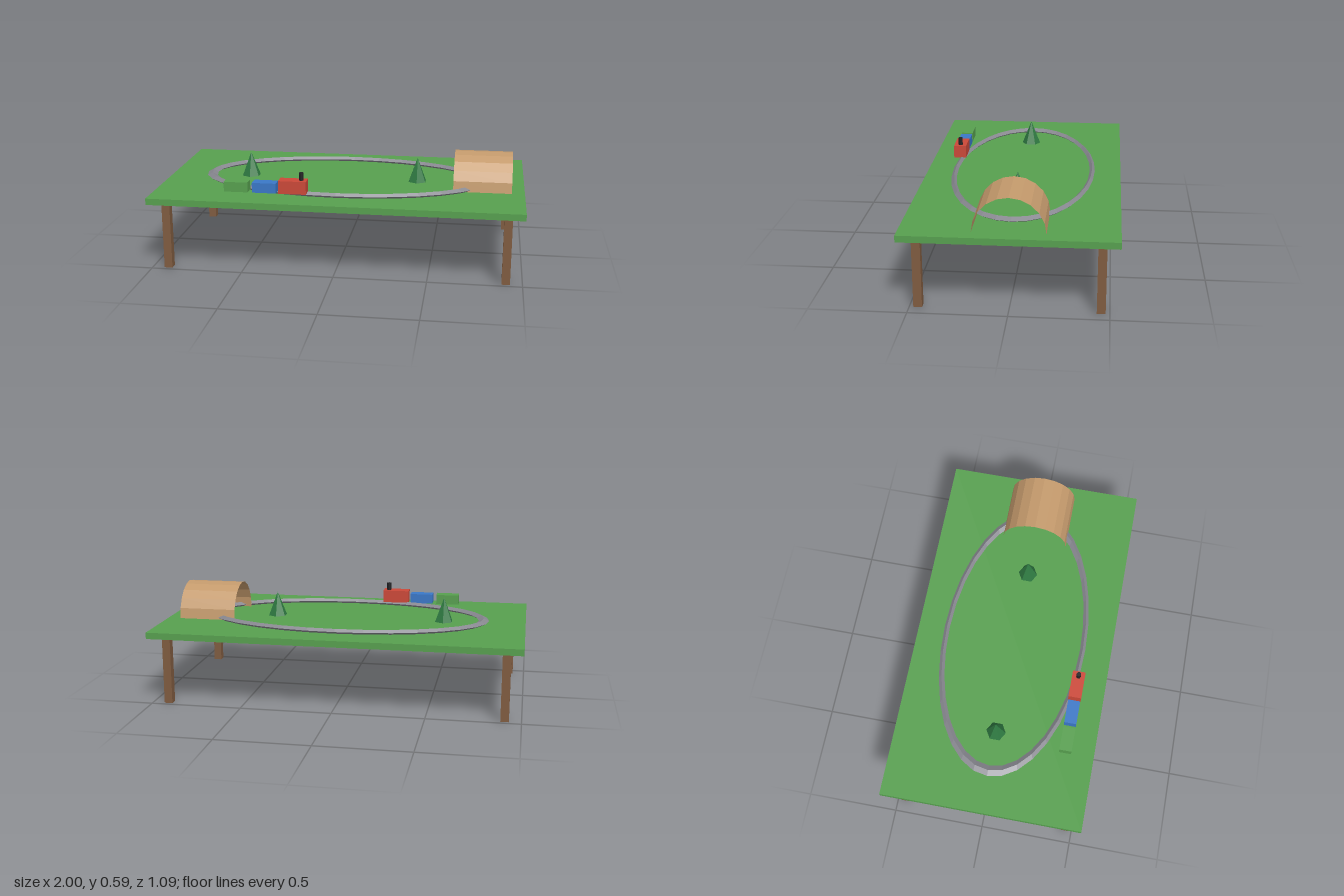
import * as THREE from 'three';

const mat = (name, color, extra = {}) => {
  const m = new THREE.MeshStandardMaterial({ color, ...extra });
  m.name = name;
  return m;
};

export function createModel() {
  const flat = { flatShading: true };
  const green = mat('grass green', 0x57a04f);
  const wood = mat('leg brown', 0x805c40);
  const steel = mat('track grey', 0x888890, flat);
  const red = mat('engine red', 0xcc4838);
  const blue = mat('wagon blue', 0x3a78c8);
  const black = mat('chimney black', 0x222224, flat);
  const pine = mat('pine green', 0x2f7a42, flat);
  const tan = mat('tunnel tan', 0xc49a6c, { flatShading: true, side: THREE.DoubleSide });

  const model = new THREE.Group();
  model.name = 'trainTable';
  const add = (name, geometry, material, x, y, z) => {
    const mesh = new THREE.Mesh(geometry, material);
    mesh.name = name;
    mesh.position.set(x, y, z);
    model.add(mesh);
    return mesh;
  };

  // Table top and four square legs
  const TOP = 0.41;
  add('tableTop', new THREE.BoxGeometry(2, 0.035, 1.09), green, 0, TOP - 0.0175, 0);
  for (const sx of [-1, 1]) {
    for (const sz of [-1, 1]) {
      add('leg', new THREE.BoxGeometry(0.044, 0.375, 0.044), wood, sx * 0.913, 0.1875, sz * 0.457);
    }
  }

  // Oval track: a diamond-section ring stretched along x
  const ring = new THREE.TorusGeometry(0.3855, 0.0145, 4, 32);
  ring.rotateX(-Math.PI / 2);
  ring.scale(2, 1, 1);
  add('track', ring, steel, 0, 0.421, 0);

  // Train: engine with chimney, then two wagons
  const TRAIN_Z = 0.388;
  add('engine', new THREE.BoxGeometry(0.15, 0.07, 0.07), red, -0.23, 0.465, TRAIN_Z);
  add('chimney', new THREE.CylinderGeometry(0.0125, 0.0125, 0.042, 8), black, -0.185, 0.521, TRAIN_Z);
  const wagon = new THREE.BoxGeometry(0.13, 0.054, 0.066);
  add('blueWagon', wagon, blue, -0.383, 0.457, TRAIN_Z);
  add('greenWagon', wagon, green, -0.537, 0.457, TRAIN_Z);

  // Six-sided pine trees
  for (const x of [-0.547, 0.406]) {
    add('tree', new THREE.ConeGeometry(0.0535, 0.135, 6), pine, x, TOP + 0.0675, 0);
  }

  // Open half-cylinder tunnel, lying along x
  const arch = new THREE.CylinderGeometry(0.184, 0.184, 0.316, 10, 1, true, 0, Math.PI);
  arch.rotateZ(Math.PI / 2);
  add('tunnel', arch, tan, 0.772, TOP, 0);

  return model;
}
